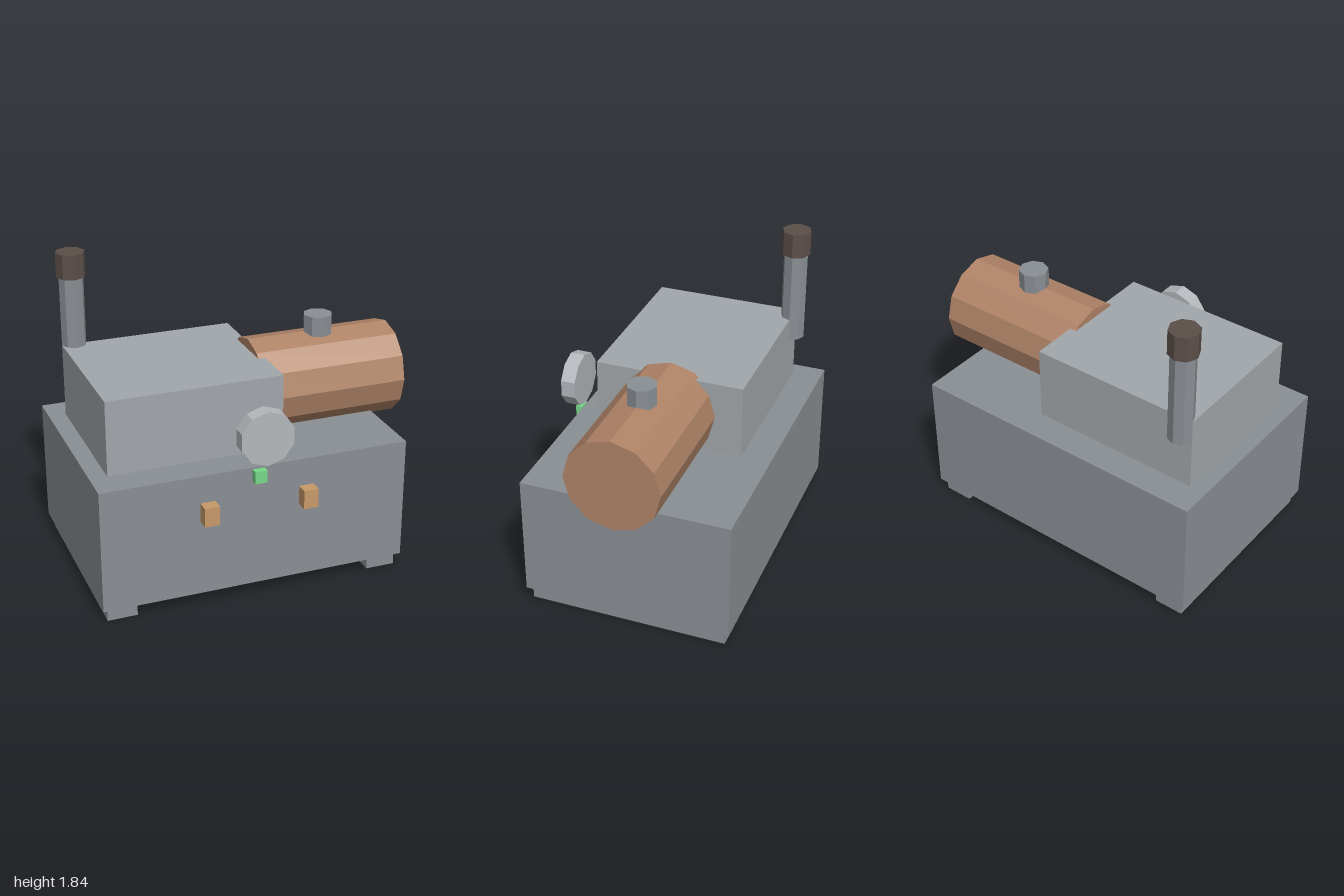
import * as THREE from 'three';

const paint = (color) => new THREE.MeshStandardMaterial({ color, flatShading: true });

export function createModel() {
  const model = new THREE.Group();
  model.name = 'generator';

  const steel = paint(0x8a8f94);
  const lightSteel = paint(0xa2a7ab);
  const copper = paint(0xb08468);
  const darkIron = paint(0x5c4f49);
  const pale = paint(0xb4b8bc);
  const amber = paint(0xc89a6a);
  const green = paint(0x78d88a);

  const add = (name, geometry, material, x, y, z) => {
    const mesh = new THREE.Mesh(geometry, material);
    mesh.name = name;
    mesh.position.set(x, y, z);
    model.add(mesh);
    return mesh;
  };

  // Box given by its extents on each axis
  const box = (name, material, [x0, x1], [y0, y1], [z0, z1]) =>
    add(name, new THREE.BoxGeometry(x1 - x0, y1 - y0, z1 - z0), material,
      (x0 + x1) / 2, (y0 + y1) / 2, (z0 + z1) / 2);

  // Low-poly cylinder given by its centre
  const cylinder = (name, material, radius, length, sides, x, y, z) =>
    add(name, new THREE.CylinderGeometry(radius, radius, length, sides), material, x, y, z);

  // Base cabinet on two skids
  box('baseCabinet', steel, [-1, 0.845], [0.08, 0.823], [-0.663, 0.59]);
  box('rightSkid', steel, [-0.97, -0.793], [0, 0.08], [-0.633, 0.56]);
  box('leftSkid', steel, [0.64, 0.817], [0, 0.08], [-0.633, 0.56]);

  // Engine block
  box('engineBlock', lightSteel, [-0.897, 0.147], [0.823, 1.27], [-0.485, 0.408]);

  // Horizontal tank with filler cap
  cylinder('tank', copper, 0.283, 0.895, 12, 0.5525, 1.049, -0.038).rotation.z = Math.PI / 2;
  cylinder('fillerCap', steel, 0.088, 0.12, 8, 0.55, 1.375, -0.038);

  // Exhaust stack
  cylinder('exhaustPipe', steel, 0.074, 0.555, 8, -0.823, 1.4125, -0.485);
  cylinder('exhaustCap', darkIron, 0.088, 0.148, 8, -0.823, 1.765, -0.485);

  // Gauge, indicator lamp and switches on the front
  cylinder('gauge', pale, 0.163, 0.088, 10, -0.047, 1.018, 0.619).rotation.x = Math.PI / 2;
  box('indicatorLamp', green, [-0.114, -0.041], [0.743, 0.817], [0.6, 0.642]);
  for (const [name, x] of [['rightSwitch', -0.376], ['leftSwitch', 0.22]]) {
    box(name, amber, [x - 0.044, x + 0.044], [0.541, 0.656], [0.588, 0.663]);
  }

  return model;
}
